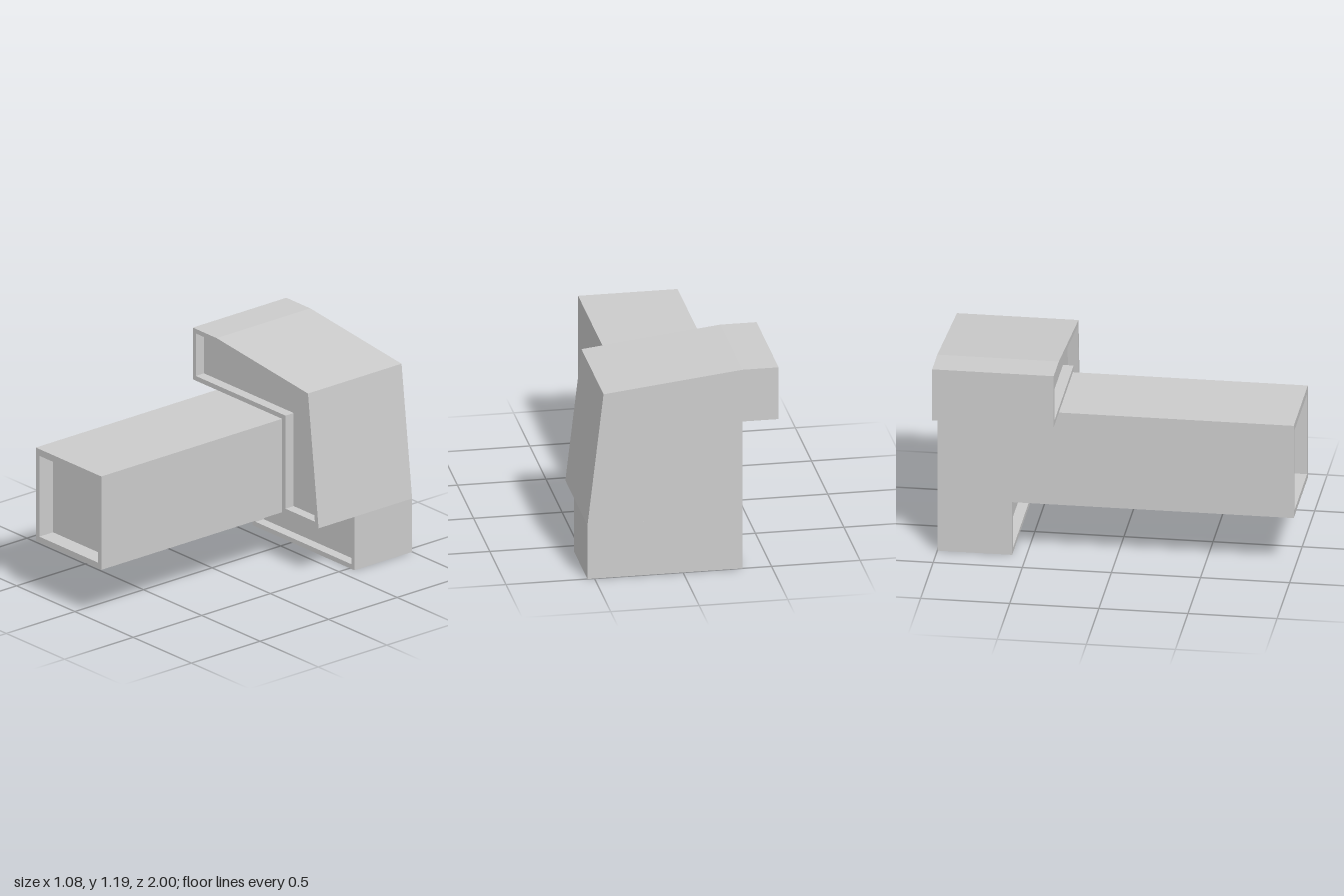
import * as THREE from 'three';

const material = new THREE.MeshStandardMaterial({ color: 0xcccccc, flatShading: true });
const BACK = -1; // all parts share a flat back plane

const points = (list) => list.map(([x, y]) => new THREE.Vector2(x, y));
const rect = (x0, y0, x1, y1) => [[x0, y0], [x1, y0], [x1, y1], [x0, y1]];

// Extrude a shape between two z planes
function slab(name, shape, z0, z1) {
  const geometry = new THREE.ExtrudeGeometry(shape, { depth: z1 - z0, bevelEnabled: false });
  geometry.translate(0, 0, z0);
  const mesh = new THREE.Mesh(geometry, material);
  mesh.name = name;
  return mesh;
}

// Solid prism with a shallow recess framed by a thin rim on its front
function recessedBlock(name, outer, inner, front, depth) {
  const group = new THREE.Group();
  group.name = name;
  const rim = new THREE.Shape(points(outer));
  rim.holes.push(new THREE.Path(points(inner)));
  group.add(
    slab(name + 'Body', new THREE.Shape(points(outer)), BACK, front - depth),
    slab(name + 'Rim', rim, front - depth, front)
  );
  return group;
}

export function createModel() {
  const model = new THREE.Group();
  model.name = 'building';

  // Long square wing reaching forward
  model.add(recessedBlock('longWing',
    rect(-0.335, 0.32, 0.227, 0.88), rect(-0.305, 0.355, 0.197, 0.84), 1, 0.1));

  // Base block set back under the wing
  model.add(recessedBlock('base',
    rect(-0.335, 0, 0.54, 0.32), rect(-0.309, 0.028, 0.514, 0.293), -0.58, 0.06));

  // Angled upper storey wrapping over the top and left side of the wing
  model.add(recessedBlock('upperWrap',
    [[-0.54, 0.88], [0.227, 0.88], [0.227, 0.32], [0.54, 0.32], [0.449, 1.1], [-0.335, 1.19], [-0.54, 1.19]],
    [[-0.514, 0.908], [0.256, 0.908], [0.256, 0.35], [0.508, 0.35], [0.423, 1.074], [-0.335, 1.163], [-0.514, 1.163]],
    -0.318, 0.06));

  return model;
}
